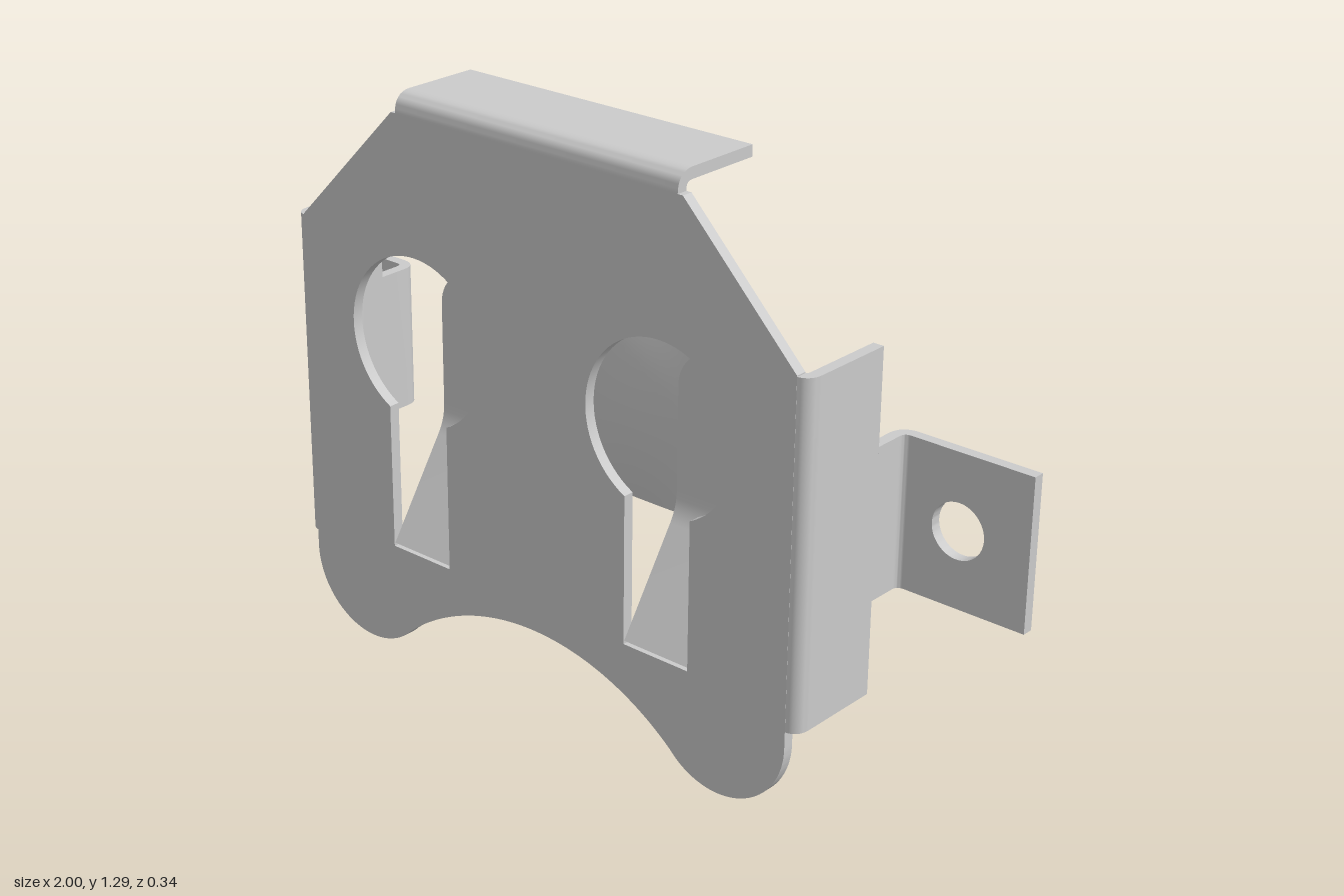
import * as THREE from 'three';
import { toCreasedNormals } from 'three/addons/utils/BufferGeometryUtils.js';

const T = 0.025;          // sheet thickness
const FRONT = 0.157;      // mid-plane of the front sheet
const MID = 0.585;        // height of the mounting tabs' centre
const material = new THREE.MeshStandardMaterial({ color: 0xcccccc, side: THREE.DoubleSide });

function addMesh(parent, name, geometry) {
  const mesh = new THREE.Mesh(toCreasedNormals(geometry, 0.6), material);
  mesh.name = name;
  parent.add(mesh);
  return mesh;
}

function extrude(shape, depth) {
  return new THREE.ExtrudeGeometry(shape, { depth, bevelEnabled: false, curveSegments: 32 })
    .translate(0, 0, -depth / 2);
}

// Sheet strip: a polyline with rounded corners, thickened and extruded to a width
function bentStrip(points, bend, width) {
  const p = points.map(([x, y]) => new THREE.Vector2(x, y));
  const line = [p[0]];
  for (let i = 1; i < p.length - 1; i++) {
    const a = p[i - 1].clone().sub(p[i]).setLength(bend).add(p[i]);
    const b = p[i + 1].clone().sub(p[i]).setLength(bend).add(p[i]);
    line.push(...new THREE.QuadraticBezierCurve(a, p[i], b).getPoints(8));
  }
  line.push(p[p.length - 1]);
  const offset = (side) => line.map((q, i) => {
    const t = line[Math.min(i + 1, line.length - 1)].clone().sub(line[Math.max(i - 1, 0)]).normalize();
    return new THREE.Vector2(q.x - t.y * side, q.y + t.x * side);
  });
  return extrude(new THREE.Shape([...offset(T / 2), ...offset(-T / 2).reverse()]), width);
}

// Strip bent in plan, points are [x, z], width runs along y
const planStrip = (pts, bend, width) =>
  bentStrip(pts.map(([x, z]) => [x, -z]), bend, width).rotateX(-Math.PI / 2);

// Strip bent in side profile, points are [z, y], width runs along x
const sideStrip = (pts, bend, width) =>
  bentStrip(pts.map(([z, y]) => [-z, y]), bend, width).rotateY(Math.PI / 2);

// Front sheet: two rounded feet, an arched bottom, sloped shoulders, keyhole openings
function frontPlate() {
  const s = new THREE.Shape();
  s.moveTo(0.67, 0.17);
  s.absarc(0.5, 0.17, 0.17, 0, -Math.PI * 0.75, true);
  s.absarc(0, -0.396, 0.586, 0.865, Math.PI - 0.865, false);
  s.absarc(-0.5, 0.17, 0.17, -Math.PI / 4, -Math.PI, true);
  s.lineTo(-0.67, 0.965);
  s.lineTo(-0.39, 1.25);
  s.lineTo(0.39, 1.25);
  s.lineTo(0.67, 0.965);
  for (const c of [-0.335, 0.335]) {
    const a = Math.atan2(0.17, 0.085);
    const hole = new THREE.Path();
    hole.moveTo(c - 0.085, 0.25);
    hole.lineTo(c + 0.085, 0.25);
    hole.absarc(c, 0.755, 0.19, -a, Math.PI + a, false);
    hole.closePath();
    s.holes.push(hole);
  }
  return extrude(s, T).translate(0, 0, FRONT);
}

// Spring tongue bent back out of each keyhole, with a rounded tip
function springTongue(side) {
  const g = new THREE.Group();
  g.name = 'springTongue';
  const z = -0.006;
  addMesh(g, 'tongueStrip', sideStrip([[FRONT, 0.25], [z, 0.5], [z, 0.775]], 0.04, 0.17));
  const tip = new THREE.Shape();
  tip.absarc(0, 0, 0.085, 0, Math.PI, false);
  addMesh(g, 'tongueTip', extrude(tip, T).translate(0, 0.775, z));
  g.position.x = side * 0.335;
  return g;
}

// Side wall folded back, narrowing to an outward tab with a screw hole
function sideBracket(side) {
  const g = new THREE.Group();
  g.name = side > 0 ? 'leftBracket' : 'rightBracket';
  const wall = [[0.66, FRONT], [0.687, FRONT], [0.687, -0.06]];
  const neck = [[0.687, -0.06], [0.687, -FRONT], [0.725, -FRONT]];
  const flip = (pts) => pts.map(([x, z]) => [side * x, z]);
  addMesh(g, 'sideWall', planStrip(flip(wall), 0.024, 0.755));
  addMesh(g, 'tabNeck', planStrip(flip(neck), 0.03, 0.335));
  const tab = new THREE.Shape();
  tab.moveTo(-0.1375, -0.1675);
  tab.lineTo(0.1375, -0.1675);
  tab.lineTo(0.1375, 0.1675);
  tab.lineTo(-0.1375, 0.1675);
  const hole = new THREE.Path();
  hole.absarc(-0.0275 * side, 0, 0.061, 0, Math.PI * 2, true);
  tab.holes.push(hole);
  addMesh(g, 'mountingTab', extrude(tab, T).translate(side * 0.8625, 0, -FRONT));
  g.position.y = MID;
  return g;
}

// Thin dished contact pad with slightly trimmed corners, bulging forward
function contactPad() {
  const geo = new THREE.PlaneGeometry(2, 2, 20, 20);
  const p = geo.attributes.position;
  for (let i = 0; i < p.count; i++) {
    const u = p.getX(i), v = p.getY(i);
    const trim = 1 - 0.07 * (u * v) ** 4;
    p.setXYZ(i, u * 0.207 * trim, MID + v * 0.207 * trim,
      -0.17 + 0.026 * (1 - u * u) * (1 - v * v));
  }
  geo.computeVertexNormals();
  return geo;
}

export function createModel() {
  const model = new THREE.Group();
  model.name = 'coinCellClip';
  addMesh(model, 'frontPlate', frontPlate());
  addMesh(model, 'topFlange', sideStrip([[FRONT, 1.235], [FRONT, 1.2815], [-0.052, 1.2815]], 0.03, 0.755));
  for (const side of [-1, 1]) model.add(springTongue(side), sideBracket(side));
  addMesh(model, 'contactPad', contactPad());
  return model;
}
